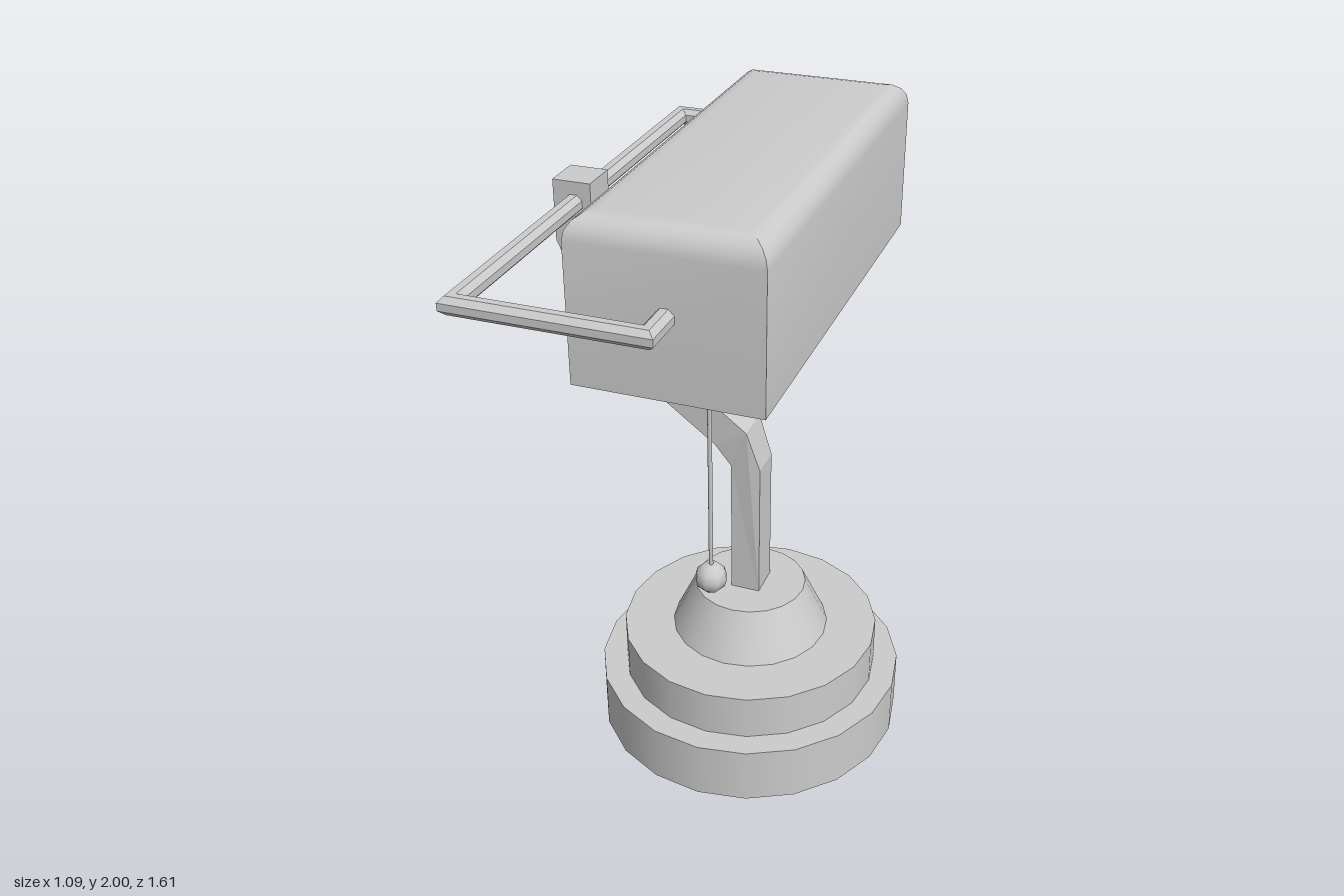
import * as THREE from 'three';
import { toCreasedNormals } from 'three/addons/utils/BufferGeometryUtils.js';

const CX = 0.047; // axis of base and shade

// Skin a series of closed rings, counter-clockwise around the direction of travel.
function loft(rings) {
  const n = rings[0].length;
  const points = rings.flat();
  const index = [];
  for (let r = 0; r < rings.length - 1; r++) {
    for (let i = 0; i < n; i++) {
      const a = r * n + i, b = r * n + (i + 1) % n;
      index.push(a, b, b + n, a, b + n, a + n);
    }
  }
  const geometry = new THREE.BufferGeometry().setFromPoints(points);
  geometry.setIndex(index);
  return geometry;
}

// Sweep an octagon along a horizontal path with mitred corners.
function mitredRod(path, radius) {
  const up = new THREE.Vector3(0, 1, 0);
  const normals = path.slice(1).map((p, i) =>
    new THREE.Vector3().crossVectors(up, p.clone().sub(path[i]).normalize()));
  return loft(path.map((p, i) => {
    const n1 = normals[Math.max(i - 1, 0)];
    const n2 = normals[Math.min(i, normals.length - 1)];
    const side = n1.clone().add(n2).divideScalar(1 + n1.dot(n2));
    return Array.from({ length: 8 }, (_, k) => {
      const t = (k + 0.5) * Math.PI / 4;
      return p.clone()
        .addScaledVector(side, radius * Math.cos(t))
        .addScaledVector(up, radius * Math.sin(t));
    });
  }));
}

export function createModel() {
  const model = new THREE.Group();
  const smooth = new THREE.MeshStandardMaterial({ color: 0xcccccc });
  const flat = new THREE.MeshStandardMaterial({ color: 0xcccccc, flatShading: true });

  function add(name, geometry, material, x = 0, y = 0, z = 0) {
    const mesh = new THREE.Mesh(geometry, material);
    mesh.name = name;
    mesh.position.set(x, y, z);
    model.add(mesh);
  }

  // Stepped base: top radius, bottom radius, bottom y, top y
  const tiers = [
    ['baseLower', 0.497, 0.497, 0, 0.19],
    ['baseUpper', 0.418, 0.418, 0.19, 0.34],
    ['baseCollar', 0.18, 0.255, 0.34, 0.5],
  ];
  for (const [name, top, bottom, y0, y1] of tiers) {
    add(name, new THREE.CylinderGeometry(top, bottom, y1 - y0, 20), smooth, CX, (y0 + y1) / 2, 0);
  }

  // Bent arm, slightly wider above the first bend
  const outline = [
    [0, 0.49], [0.095, 0.49], [0.095, 0.96], [0.052, 1.09], [-0.29, 1.35], [-0.43, 1.64],
    [-0.43, 1.83], [-0.55, 1.83], [-0.55, 1.64], [-0.395, 1.29], [-0.05, 1.03], [0, 0.96],
  ].map(([x, y]) => new THREE.Vector2(x, y));
  const arm = new THREE.ExtrudeGeometry(new THREE.Shape(outline), { depth: 1, bevelEnabled: false });
  const pos = arm.attributes.position;
  for (let i = 0; i < pos.count; i++) {
    const half = pos.getY(i) > 1 ? 0.062 : 0.055;
    pos.setZ(i, (pos.getZ(i) * 2 - 1) * half);
  }
  add('arm', arm, flat);

  // Hollow shade: profile of [inset, y] from the inner ceiling, round the rim, to the top
  const hx = 0.27, hz = 0.67, wall = 0.07, bend = 0.07;
  const profile = [[hx, 1.93]];
  for (let i = 4; i >= 0; i--) {
    const t = i * Math.PI / 8;
    profile.push([wall + 0.05 * (1 - Math.cos(t)), 1.88 + 0.05 * Math.sin(t)]);
  }
  profile.push([wall, 1.525], [0, 1.525]);
  for (let i = 0; i <= 4; i++) {
    const t = i * Math.PI / 8;
    profile.push([bend * (1 - Math.cos(t)), 2 - bend + bend * Math.sin(t)]);
  }
  profile.push([hx, 2]);
  const corners = [[1, 1], [1, -1], [-1, -1], [-1, 1]];
  const shade = loft(profile.map(([inset, y]) => corners.map(([sx, sz]) =>
    new THREE.Vector3(sx * (hx - inset), y, sz * (hz - inset)))));
  add('shade', toCreasedNormals(shade, 0.6), smooth, CX + 0.003, 0, 0);

  // Bracket rod holding both ends of the shade
  const path = [
    [0.052, -0.63], [0.052, -0.78], [-0.485, -0.78], [-0.485, 0.78], [0.052, 0.78], [0.052, 0.63],
  ].map(([x, z]) => new THREE.Vector3(x, 1.763, z));
  add('bracketRod', mitredRod(path, 0.029), flat);

  // Pull cord and bead
  add('pullCord', new THREE.CylinderGeometry(0.007, 0.007, 1.15, 8), smooth, CX, 1.36, 0.357);
  add('pullBead', new THREE.SphereGeometry(0.05, 8, 6), smooth, CX, 0.755, 0.357);

  return model;
}
